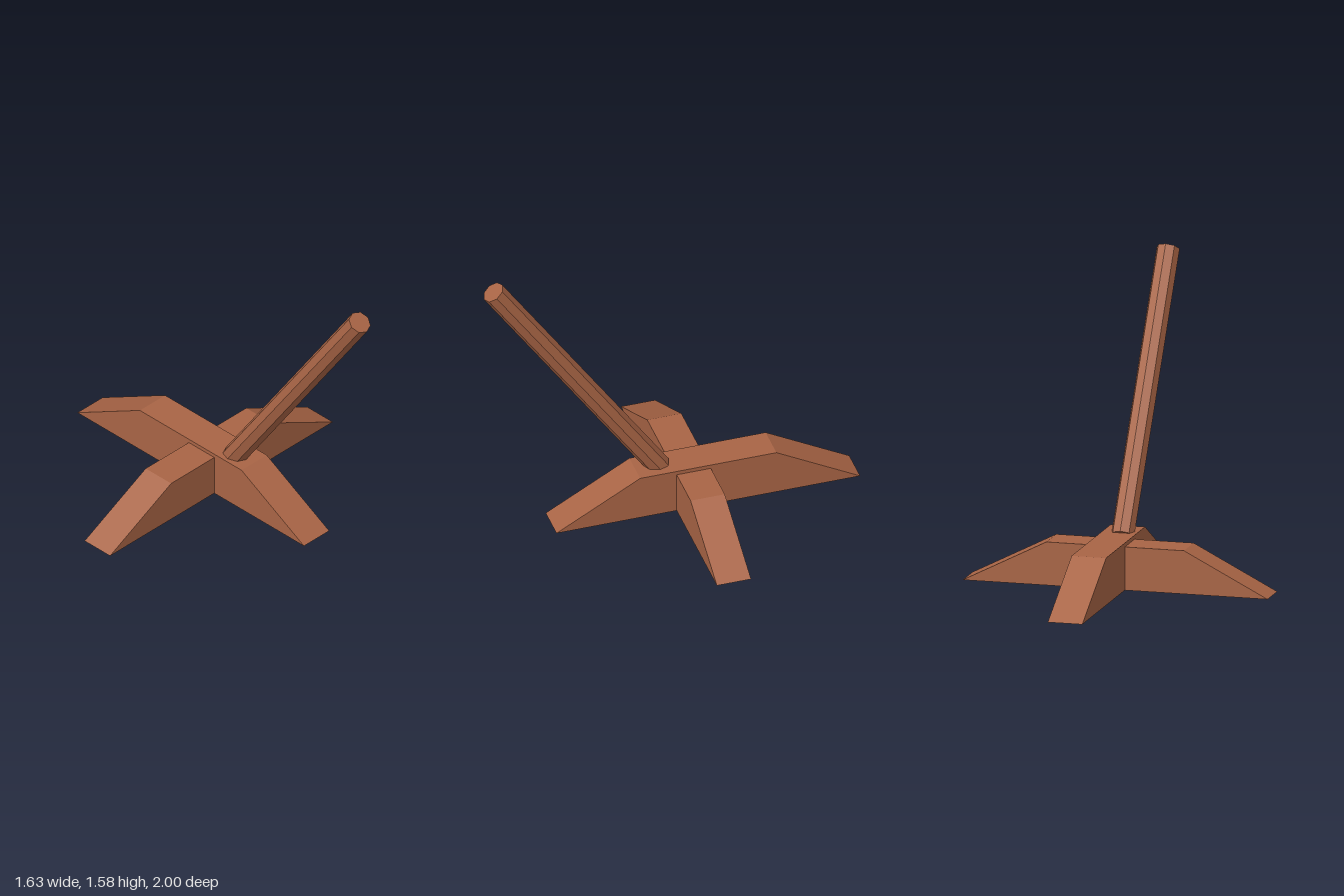
import * as THREE from 'three';

export function createModel() {
  const model = new THREE.Group();
  const wood = new THREE.MeshStandardMaterial({ color: 0xa86445 });
  wood.name = 'brown wood';

  // Foot beam with both ends sloping to the ground, running along x
  function beam(name, halfLength, halfTop, height, width) {
    const shape = new THREE.Shape([
      new THREE.Vector2(-halfLength, 0),
      new THREE.Vector2(halfLength, 0),
      new THREE.Vector2(halfTop, height),
      new THREE.Vector2(-halfTop, height),
    ]);
    const geometry = new THREE.ExtrudeGeometry(shape, { depth: width, bevelEnabled: false });
    geometry.translate(0, 0, -width / 2);
    const mesh = new THREE.Mesh(geometry, wood);
    mesh.name = name;
    model.add(mesh);
    return mesh;
  }

  // Crossed base, turned very slightly
  const turn = -0.0123;
  const cross = beam('crossBeam', 0.813, 0.367, 0.228, 0.184);
  cross.position.set(0, 0, -0.103);
  cross.rotation.y = turn;

  const long = beam('longBeam', 0.818, 0.367, 0.249, 0.184);
  long.position.set(0.041, 0, -0.181);
  long.rotation.y = Math.PI / 2 + turn;

  // Leaning eight-sided pole
  const bottom = new THREE.Vector3(0.027, 0.228, 0.05);
  const top = new THREE.Vector3(0.027, 1.542, 0.949);
  const axis = top.clone().sub(bottom);
  const geometry = new THREE.CylinderGeometry(0.061, 0.061, axis.length(), 8).toNonIndexed();
  geometry.computeVertexNormals();
  const pole = new THREE.Mesh(geometry, wood);
  pole.name = 'pole';
  pole.position.copy(bottom).add(top).multiplyScalar(0.5);
  pole.rotation.x = Math.atan2(axis.z, axis.y);
  model.add(pole);

  return model;
}
